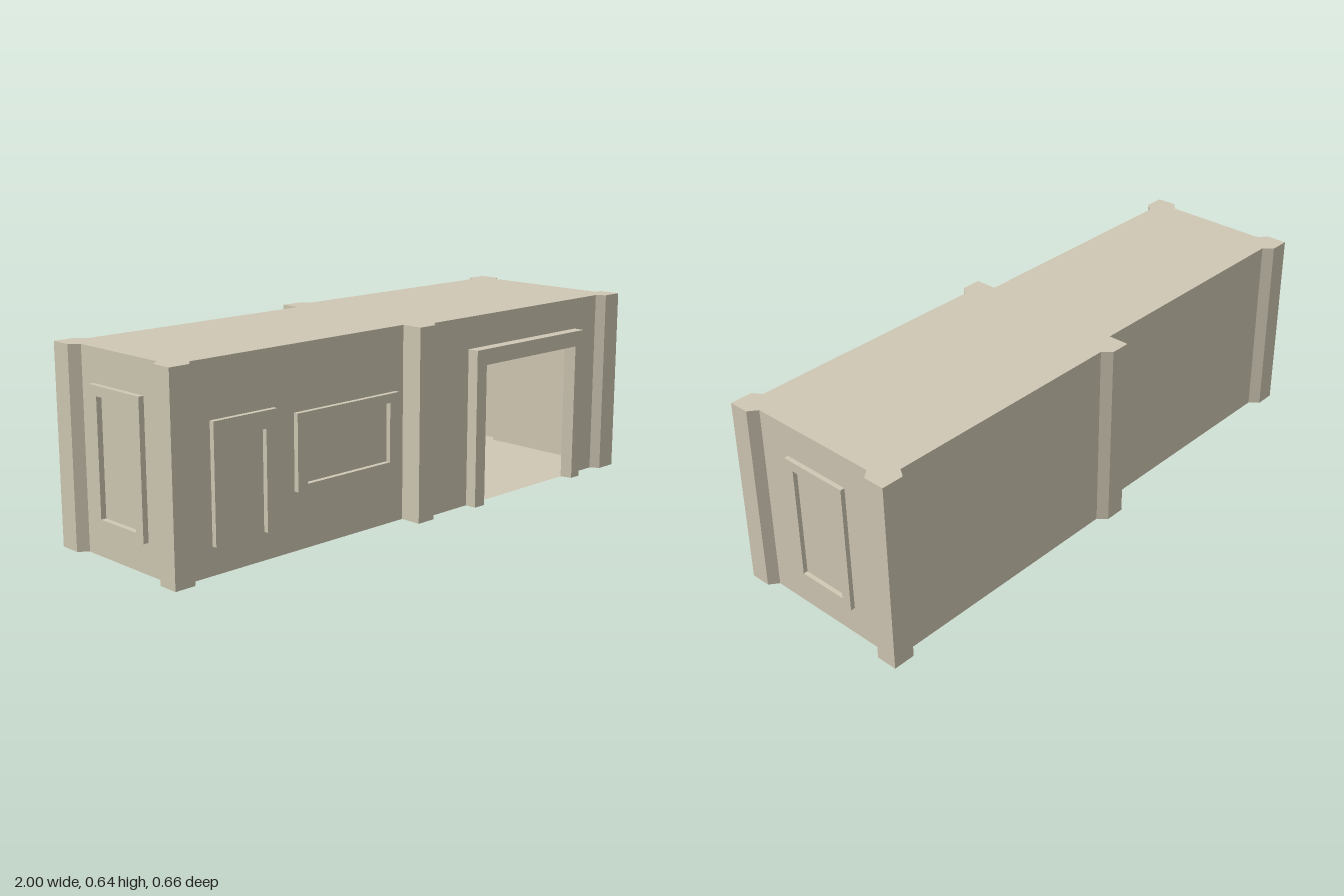
import * as THREE from 'three';

const H = 0.645;

export function createModel() {
  const model = new THREE.Group();
  model.name = 'building';
  const plaster = new THREE.MeshStandardMaterial({ color: 0xd0c8b4, side: THREE.DoubleSide });
  plaster.name = 'beige plaster';

  const add = (name, geometry, parent = model) => {
    const mesh = new THREE.Mesh(geometry, plaster);
    mesh.name = name;
    parent.add(mesh);
    return mesh;
  };
  const rectPoints = (x0, y0, x1, y1) =>
    [[x0, y0], [x1, y0], [x1, y1], [x0, y1]].map(([x, y]) => new THREE.Vector2(x, y));

  // Footprint (x, z), running along the front, the +x end, the back and the -x end
  const plan = [
    [-1, 0.275], [-0.93, 0.275], [-0.905, 0.245], [-0.05, 0.245],
    [-0.05, 0.32], [0.02, 0.32], [0.045, 0.29], [0.905, 0.29], [0.925, 0.32], [1, 0.32],
    [1, 0.25], [0.97, 0.227], [0.97, -0.234], [1, -0.257],
    [1, -0.33], [0.925, -0.33], [0.905, -0.3], [0.045, -0.3], [0.02, -0.33], [-0.05, -0.33],
    [-0.05, -0.258], [-0.905, -0.258], [-0.93, -0.29], [-1, -0.29],
    [-1, -0.217], [-0.97, -0.192], [-0.97, 0.18], [-1, 0.205],
  ];
  const GARAGE_WALL = 6;

  // Floor and roof slabs
  const planShape = new THREE.Shape(plan.map(([x, z]) => new THREE.Vector2(x, -z)));
  add('floor', new THREE.ShapeGeometry(planShape).rotateX(Math.PI / 2).scale(1, 1, -1));
  add('roof', new THREE.ShapeGeometry(planShape).rotateX(-Math.PI / 2).translate(0, H, 0));
  // The floor winding is turned so that it faces down
  const floor = model.getObjectByName('floor').geometry;
  floor.index.array.reverse();
  floor.computeVertexNormals();

  // Thin outer walls, one per footprint edge; the garage wall has an opening
  const walls = new THREE.Group();
  walls.name = 'walls';
  model.add(walls);
  plan.forEach(([x, z], i) => {
    const [x2, z2] = plan[(i + 1) % plan.length];
    const length = Math.hypot(x2 - x, z2 - z);
    const outline = i === GARAGE_WALL
      ? [[0, 0], [0.225, 0], [0.225, 0.475], [0.69, 0.475], [0.69, 0], [length, 0], [length, H], [0, H]]
        .map(([a, b]) => new THREE.Vector2(a, b))
      : rectPoints(0, 0, length, H);
    const wall = add('wall', new THREE.ShapeGeometry(new THREE.Shape(outline)), walls);
    wall.position.set(x, 0, z);
    wall.rotation.y = Math.atan2(-(z2 - z), x2 - x);
  });

  // Inner wall between the two rooms
  add('partition', new THREE.PlaneGeometry(0.503, H).rotateY(Math.PI / 2)
    .translate(-0.05, H / 2, -0.0065));

  // Raised surrounds
  const extrude = (shape, depth) =>
    new THREE.ExtrudeGeometry(shape, { depth, bevelEnabled: false });
  const archShape = (x0, y0, x1, y1, ix0, ix1, iy) => new THREE.Shape(
    [[x0, y0], [ix0, y0], [ix0, iy], [ix1, iy], [ix1, y0], [x1, y0], [x1, y1], [x0, y1]]
      .map(([x, y]) => new THREE.Vector2(x, y)));
  const ringShape = (outer, inner) => {
    const shape = new THREE.Shape(rectPoints(...outer));
    shape.holes.push(new THREE.Path(rectPoints(...inner).reverse()));
    return shape;
  };

  add('frontDoorFrame', extrude(archShape(-0.84, 0.09, -0.6, 0.465, -0.797, -0.643, 0.41), 0.017))
    .position.z = 0.245;
  add('windowFrame', extrude(
    ringShape([-0.52, 0.19, -0.085, 0.435], [-0.48, 0.21, -0.125, 0.405]), 0.017))
    .position.z = 0.245;
  add('endDoorFrameLeft', extrude(
    ringShape([-0.113, 0.1, 0.132, 0.536], [-0.079, 0.127, 0.097, 0.504]), 0.015)
    .rotateY(Math.PI / 2).translate(0.97, 0, 0));
  add('endDoorFrameRight', extrude(
    ringShape([-0.132, 0.1, 0.113, 0.536], [-0.097, 0.127, 0.079, 0.504]), 0.018)
    .rotateY(-Math.PI / 2).translate(-0.97, 0, 0));

  // Garage surround with an opening that narrows towards the wall
  const garage = extrude(archShape(0.215, 0, 0.785, 0.537, 0.262, 0.742, 0.483), 0.04);
  const p = garage.attributes.position;
  for (let i = 0; i < p.count; i++) {
    const x = p.getX(i), y = p.getY(i);
    if (p.getZ(i) > 0.001 || x < 0.24 || x > 0.76) continue;
    p.setX(i, x < 0.5 ? 0.273 : 0.732);
    if (y > 0.4) p.setY(i, 0.472);
  }
  garage.computeVertexNormals();
  add('garageFrame', garage).position.z = 0.29;

  return model;
}
